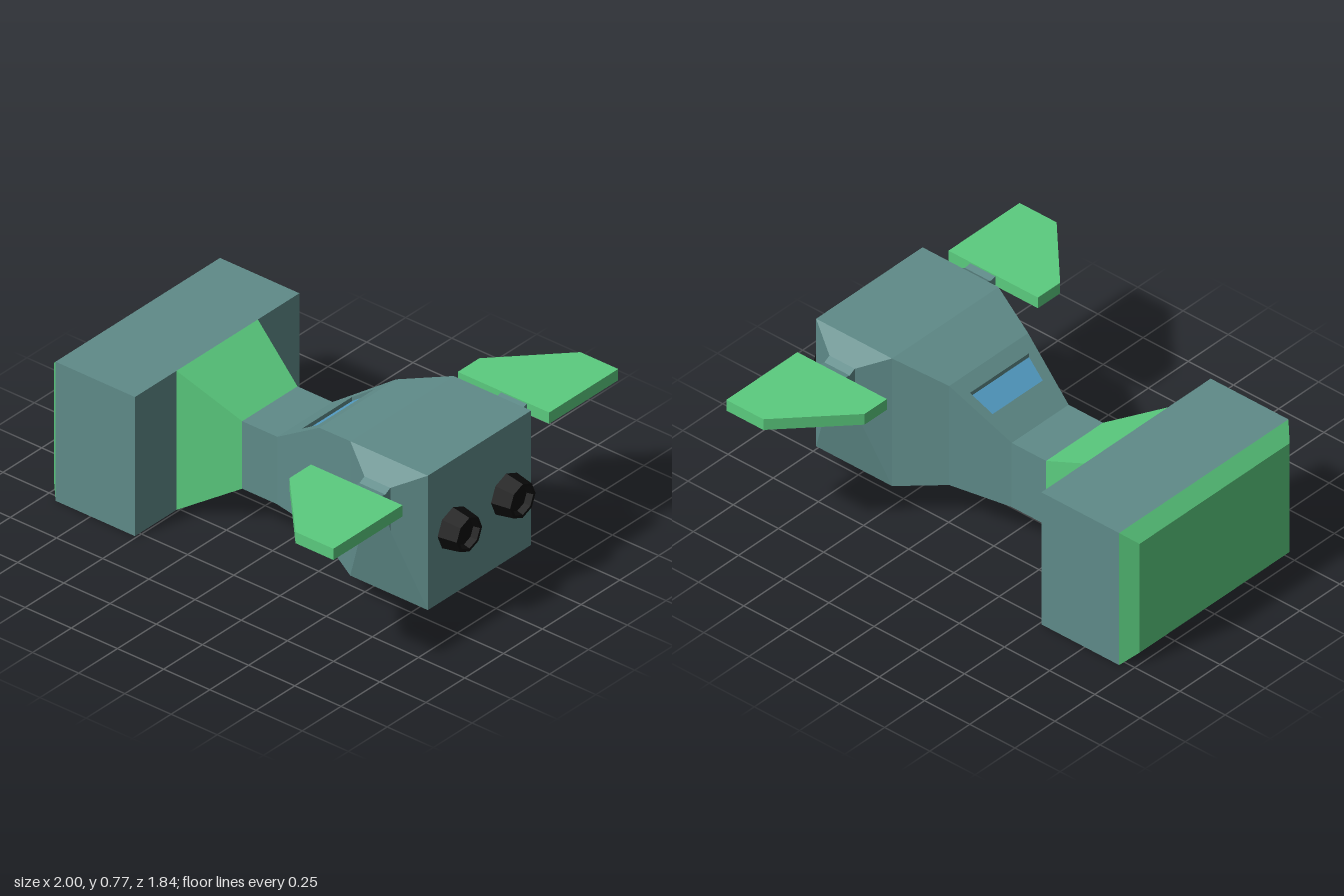
import * as THREE from 'three';

const material = (name, color) => {
  const m = new THREE.MeshStandardMaterial({ color });
  m.name = name;
  return m;
};

// Flat-faced geometry from quads, each listed counter-clockwise from outside
function quadGeometry(quads) {
  const pos = [];
  for (const [a, b, c, d] of quads) pos.push(...a, ...b, ...c, ...a, ...c, ...d);
  const g = new THREE.BufferGeometry();
  g.setAttribute('position', new THREE.Float32BufferAttribute(pos, 3));
  g.computeVertexNormals();
  return g;
}

// Joins four-cornered rings; skip(segment, side) leaves a face open
function loftQuads(rings, capStart, capEnd, skip = () => false) {
  const quads = [];
  for (let i = 0; i < rings.length - 1; i++) {
    const a = rings[i], b = rings[i + 1];
    for (let j = 0; j < 4; j++) {
      const k = (j + 1) % 4;
      if (!skip(i, j)) quads.push([a[j], a[k], b[k], b[j]]);
    }
  }
  if (capStart) quads.push([...rings[0]].reverse());
  if (capEnd) quads.push(rings[rings.length - 1]);
  return quads;
}

// Rectangular section across the length of the hull
const section = ([x, y0, y1, hz]) => [[x, y0, hz], [x, y0, -hz], [x, y1, -hz], [x, y1, hz]];

export function createModel() {
  const group = new THREE.Group();
  group.name = 'spaceship';
  const teal = material('teal hull', 0x5f8b89);
  const green = material('green trim', 0x5bcc7f);
  const blue = material('blue glass', 0x559fc8);
  const black = material('black engine', 0x0b0b0b);

  const add = (name, geometry, mat) => {
    const mesh = new THREE.Mesh(geometry, mat);
    mesh.name = name;
    group.add(mesh);
    return mesh;
  };

  // Head block with its chamfered end plate and tapering collar
  const plateEnd = [-1, 0.06, 0.62, 0.47];
  const headStart = [-0.94, 0, 0.68, 0.53];
  const headEnd = [-0.51, 0, 0.68, 0.53];
  const collarStart = [-0.51, 0, 0.68, 0.262];
  const neckStart = [-0.225, 0.178, 0.508, 0.178];
  add('endPlate', quadGeometry(loftQuads([plateEnd, headStart].map(section), true, false)), green);
  add('headBlock', quadGeometry(loftQuads([headStart, headEnd].map(section), false, true)), teal);
  add('collar', quadGeometry(loftQuads([collarStart, neckStart].map(section), false, false)), green);

  // Body, with the sloping window panel left open on top
  const slopeStart = [-0.035, 0.178, 0.508, 0.178];
  const slopeEnd = [0.25, 0.19, 0.7, 0.247];
  const body = [neckStart, slopeStart, slopeEnd, [0.49, 0.115, 0.772, 0.333], [0.91, 0.115, 0.772, 0.333]];
  const bodyQuads = loftQuads(body.map(section), true, true, (i, j) => i === 1 && j === 2);

  // Window frame and recess
  const slopeY = (x) => 0.508 + (0.192 * (x + 0.035)) / 0.285;
  const rim = (drop) => [[0.085, 0.162], [0.19, 0.185], [0.19, -0.185], [0.085, -0.162]]
    .map(([x, z]) => [x, slopeY(x) - drop, z]);
  const outer = [
    [slopeStart[0], slopeStart[2], slopeStart[3]], [slopeEnd[0], slopeEnd[2], slopeEnd[3]],
    [slopeEnd[0], slopeEnd[2], -slopeEnd[3]], [slopeStart[0], slopeStart[2], -slopeStart[3]],
  ];
  const panel = loftQuads([outer, rim(0), rim(0.02)], false, false);
  add('body', quadGeometry([...bodyQuads, ...panel]), teal);
  add('window', quadGeometry([rim(0.02)]), blue);

  // Wing outline in x and outward distance
  const wingShape = new THREE.Shape(
    [[0.395, 0.473], [0.89, 0.473], [0.89, 0.918], [0.685, 0.918], [0.395, 0.612]]
      .map(([x, z]) => new THREE.Vector2(x, z)));

  // Pylon sections: outward distance, x range, y range
  const pylon = [
    [0.333, 0.49, 0.91, 0.115, 0.772],
    [0.408, 0.63, 0.77, 0.48, 0.692],
    [0.44, 0.63, 0.77, 0.643, 0.675],
    [0.48, 0.63, 0.77, 0.638, 0.682],
  ];

  // Engine profile, tapering to a shallow hollow
  const nozzle = [[0.098, 0], [0.082, 0.09], [0.068, 0.09], [0.06, 0.06], [0, 0.06]]
    .map(([r, y]) => new THREE.Vector2(r, y));

  for (const s of [1, -1]) {
    const side = s > 0 ? 'left' : 'right';

    const rings = pylon.map(([z, x0, x1, y0, y1]) => {
      const r = [[x0, y0, s * z], [x1, y0, s * z], [x1, y1, s * z], [x0, y1, s * z]];
      return s > 0 ? r : r.reverse();
    });
    add(side + 'Pylon', quadGeometry(loftQuads(rings, false, true)), teal);

    const wing = new THREE.ExtrudeGeometry(wingShape, { depth: 0.055, bevelEnabled: false });
    wing.rotateX((s * Math.PI) / 2).translate(0, s > 0 ? 0.687 : 0.632, 0);
    add(side + 'Wing', wing, green);

    const engine = new THREE.LatheGeometry(nozzle, 8).toNonIndexed();
    engine.computeVertexNormals();
    engine.rotateZ(-Math.PI / 2).translate(0.91, 0.443, s * 0.172);
    add(side + 'Engine', engine, black);
  }
  return group;
}
